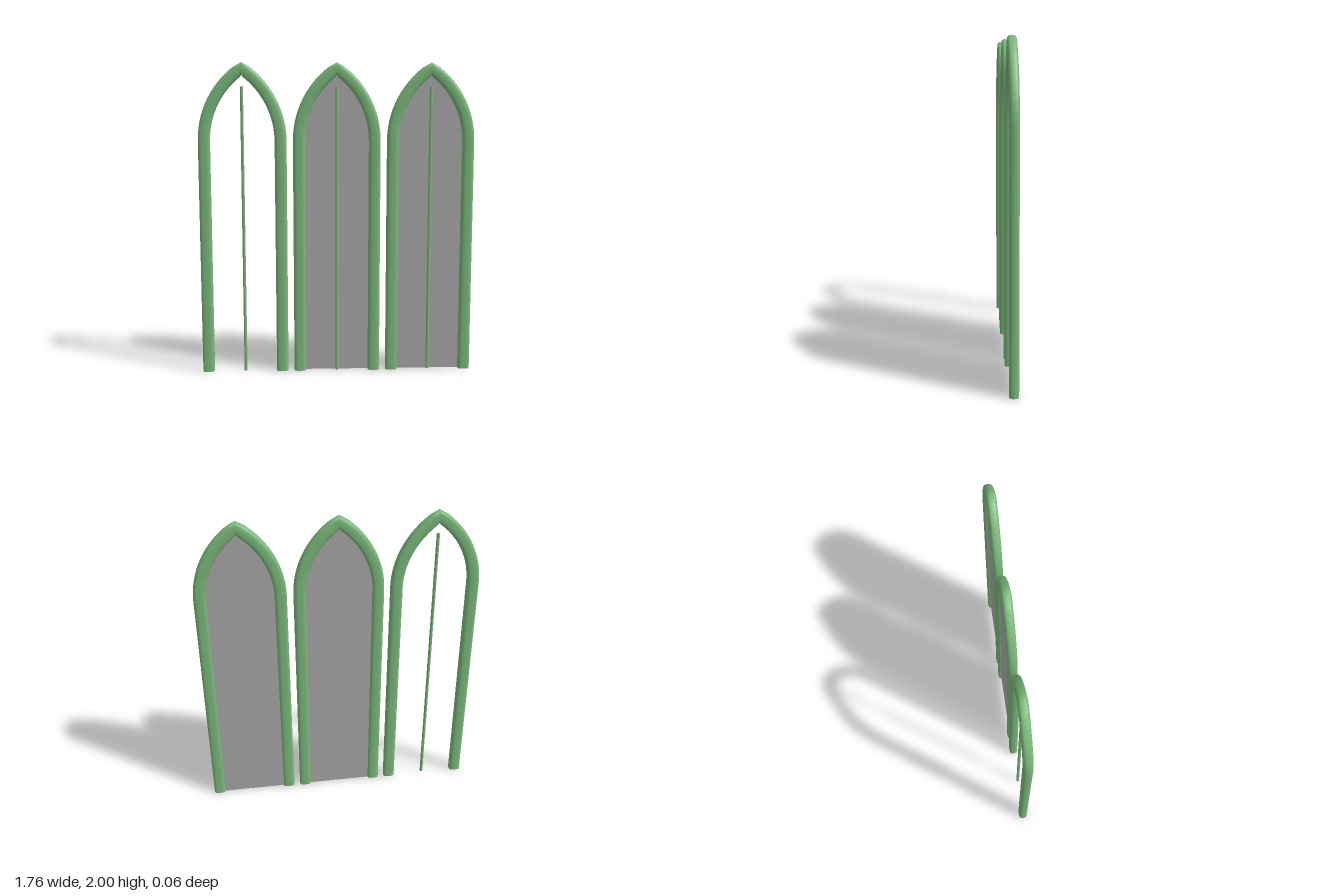
import * as THREE from 'three';

const SPRING = 1.507;   // height where the arch begins
const HALF = 0.242;     // centre line half width
const RADIUS = 0.5485;  // arc radius of the pointed arch
const WIDE = 0.038, DEEP = 0.0285;
const APEX = 1.962;

// Centre line from left foot over the apex to right foot, with outward normals
function archPath() {
  const half = [{ x: -HALF, y: 0, nx: -1, ny: 0 }];
  const cx = RADIUS - HALF, end = Math.acos(cx / RADIUS), steps = 14;
  for (let i = 0; i < steps; i++) {
    const a = end * i / steps;
    half.push({ x: cx - RADIUS * Math.cos(a), y: SPRING + RADIUS * Math.sin(a), nx: -Math.cos(a), ny: Math.sin(a) });
  }
  const mirrored = half.map(p => ({ x: -p.x, y: p.y, nx: -p.nx, ny: p.ny })).reverse();
  return [...half, { x: 0, y: APEX, nx: 0, ny: 1 }, ...mirrored];
}

// Soft rounded section swept along the arch
function frameGeometry(path) {
  const sides = 20, pos = [], idx = [];
  const soft = v => Math.sign(v) * Math.pow(Math.abs(v), 0.65);
  const addRing = p => {
    for (let j = 0; j < sides; j++) {
      const a = j / sides * Math.PI * 2;
      const u = WIDE * soft(Math.cos(a)), w = DEEP * soft(Math.sin(a));
      pos.push(p.x + p.nx * u, p.y + p.ny * u, w);
    }
  };
  path.forEach(addRing);
  for (let i = 0; i < path.length - 1; i++) {
    for (let j = 0; j < sides; j++) {
      const k = (j + 1) % sides;
      const a = i * sides + j, b = i * sides + k, c = b + sides, d = a + sides;
      idx.push(a, b, c, a, c, d);
    }
  }
  // Flat feet
  [path[0], path[path.length - 1]].forEach((p, e) => {
    const base = pos.length / 3;
    addRing(p);
    for (let j = 1; j < sides - 1; j++) {
      if (e === 0) idx.push(base, base + j + 1, base + j);
      else idx.push(base, base + j, base + j + 1);
    }
  });
  const g = new THREE.BufferGeometry();
  g.setAttribute('position', new THREE.Float32BufferAttribute(pos, 3));
  g.setIndex(idx);
  g.computeVertexNormals();
  return g;
}

export function createModel() {
  const green = new THREE.MeshStandardMaterial({ color: 0x7ab87a });
  green.name = 'green frame';
  const grey = new THREE.MeshStandardMaterial({ color: 0xa8a8a8, side: THREE.DoubleSide });
  grey.name = 'grey glass';

  const path = archPath();
  const frameGeo = frameGeometry(path);
  const paneGeo = new THREE.ShapeGeometry(new THREE.Shape(path.map(p => new THREE.Vector2(p.x, p.y))));
  const barGeo = new THREE.CylinderGeometry(0.01, 0.01, 1.85, 10);

  const model = new THREE.Group();
  model.name = 'archedWindows';
  const add = (parent, name, geo, mat, y = 0, z = 0) => {
    const m = new THREE.Mesh(geo, mat);
    m.name = name;
    m.position.set(0, y, z);
    parent.add(m);
  };

  // Three lancets; the one on the model's right is open
  ['right', 'middle', 'left'].forEach((side, i) => {
    const lancet = new THREE.Group();
    lancet.name = side + 'Lancet';
    lancet.position.x = (i - 1) * 0.6;
    add(lancet, 'frame', frameGeo, green);
    add(lancet, 'centreBar', barGeo, green, 0.925);
    if (i > 0) add(lancet, 'glassPane', paneGeo, grey, 0, -0.01);
    model.add(lancet);
  });
  return model;
}
